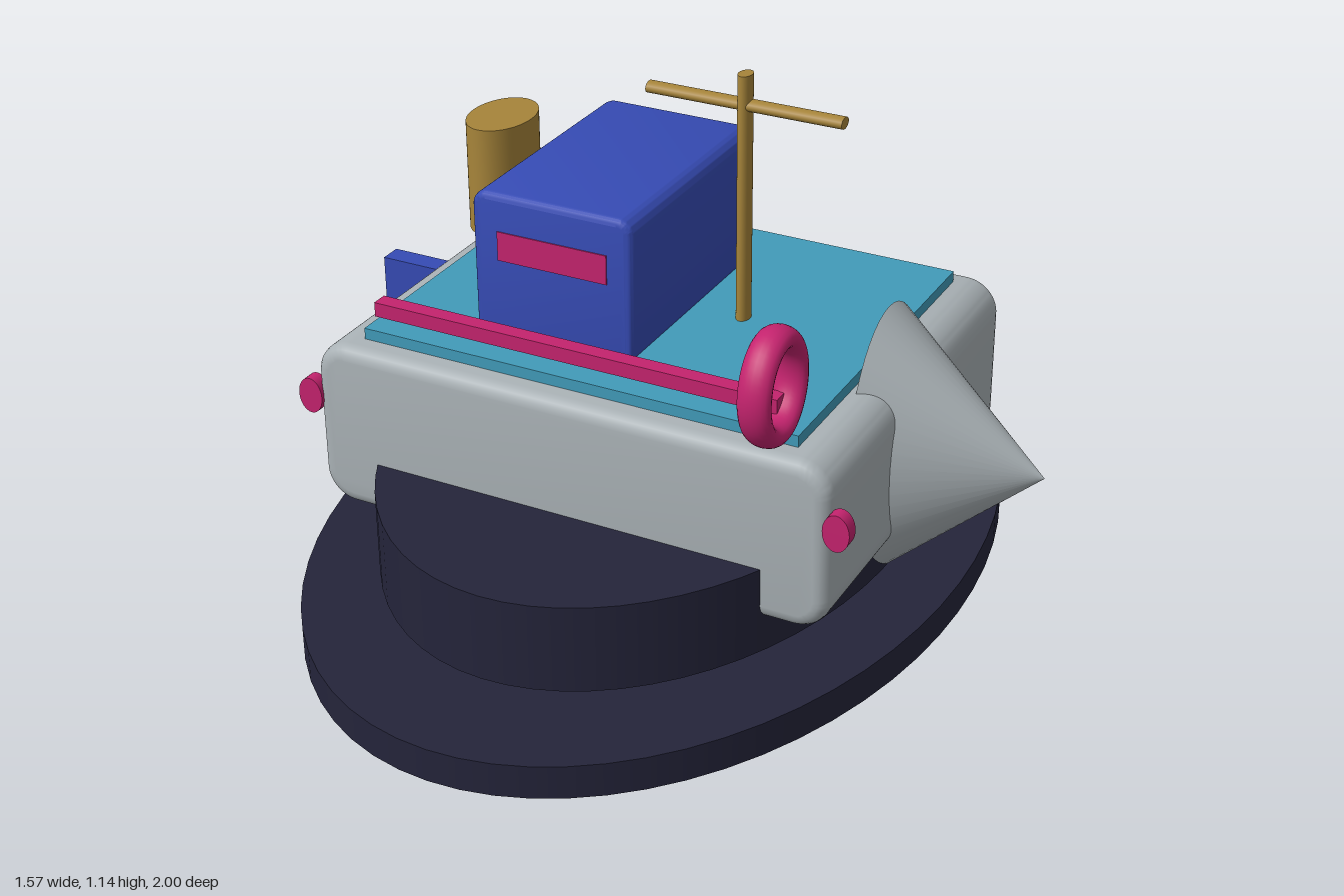
import * as THREE from 'three';
import { toCreasedNormals } from 'three/addons/utils/BufferGeometryUtils.js';

const mat = (name, color) => {
  const m = new THREE.MeshStandardMaterial({ color });
  m.name = name;
  return m;
};

// Block with a rounded outline in x/y and a small bevel on its z faces
function roundedBlock(w, h, d, radius, bevel) {
  const x = w / 2 - bevel, y = h / 2 - bevel, r = radius - bevel;
  const s = new THREE.Shape();
  s.absarc(x - r, y - r, r, 0, Math.PI / 2);
  s.absarc(-x + r, y - r, r, Math.PI / 2, Math.PI);
  s.absarc(-x + r, -y + r, r, Math.PI, Math.PI * 1.5);
  s.absarc(x - r, -y + r, r, Math.PI * 1.5, Math.PI * 2);
  const g = new THREE.ExtrudeGeometry(s, {
    depth: d - 2 * bevel, bevelEnabled: true, bevelSize: bevel,
    bevelThickness: bevel, bevelSegments: 4, curveSegments: 8,
  });
  g.translate(0, 0, -d / 2 + bevel);
  return toCreasedNormals(g, 0.6);
}

export function createModel() {
  const group = new THREE.Group();
  const grey = mat('hull grey', 0xa9b1b5);
  const dark = mat('dark navy', 0x24243a);
  const blue = mat('cabin blue', 0x364bb4);
  const teal = mat('deck teal', 0x419bb9);
  const brass = mat('brass', 0xa6843a);
  const pink = mat('magenta', 0xc4236e);

  const add = (name, geometry, material, x, y, z) => {
    const mesh = new THREE.Mesh(geometry, material);
    mesh.name = name;
    mesh.position.set(x, y, z);
    group.add(mesh);
    return mesh;
  };
  // Upright elliptical cylinder
  const disc = (rx, h, rz) => new THREE.CylinderGeometry(1, 1, h, 64).scale(rx, 1, rz);

  // Skirt discs
  add('baseDisc', disc(0.7, 0.075, 1), dark, -0.085, 0.0375, 0);
  add('skirt', disc(0.554, 0.195, 0.793), dark, -0.085, 0.205, 0);

  // Hull, deck and pointed bow
  add('hull', roundedBlock(1.185, 0.38, 0.925, 0.075, 0.03), grey, -0.085, 0.375, 0);
  add('deck', new THREE.BoxGeometry(1, 0.05, 0.81), teal, -0.085, 0.565, 0);
  add('bow', new THREE.ConeGeometry(1, 0.355, 48).rotateZ(-Math.PI / 2).scale(1, 0.313, 0.2),
    grey, 0.607, 0.378, 0);

  // Cabin with a panel on each side
  add('cabin', roundedBlock(0.372, 0.33, 0.565, 0.035, 0.015), blue, -0.2, 0.735, 0);
  for (const side of [-1, 1]) {
    add('cabinPanel', new THREE.BoxGeometry(0.255, 0.065, 0.006), pink, -0.198, 0.785, side * 0.282);
  }

  // Funnel, mast and crossbar
  add('funnel', disc(0.069, 0.245, 0.1), brass, -0.477, 0.822, 0);
  add('mast', disc(0.015, 0.57, 0.022), brass, 0.1, 0.855, 0);
  add('crossbar', new THREE.CylinderGeometry(1, 1, 0.44, 24).rotateZ(Math.PI / 2)
    .scale(1, 0.0125, 0.018), brass, 0.1, 1.073, 0);

  // Rudder plate at the stern
  add('rudder', new THREE.BoxGeometry(0.16, 0.247, 0.05), blue, -0.71, 0.423, 0);

  // Side rail and life ring
  add('rail', new THREE.BoxGeometry(0.92, 0.032, 0.036), pink, -0.085, 0.65, 0.402);
  add('lifeRing', new THREE.TorusGeometry(0.1, 0.025, 20, 48).rotateY(Math.PI / 2)
    .scale(1.4, 1, 0.84), pink, 0.376, 0.707, 0.44);

  // Side lamps at the front corners
  for (const x of [-0.693, 0.524]) {
    add('sideLamp', new THREE.CylinderGeometry(1, 1, 0.03, 32).rotateX(Math.PI / 2)
      .scale(0.029, 0.041, 1), pink, x, 0.432, 0.45);
  }
  return group;
}
